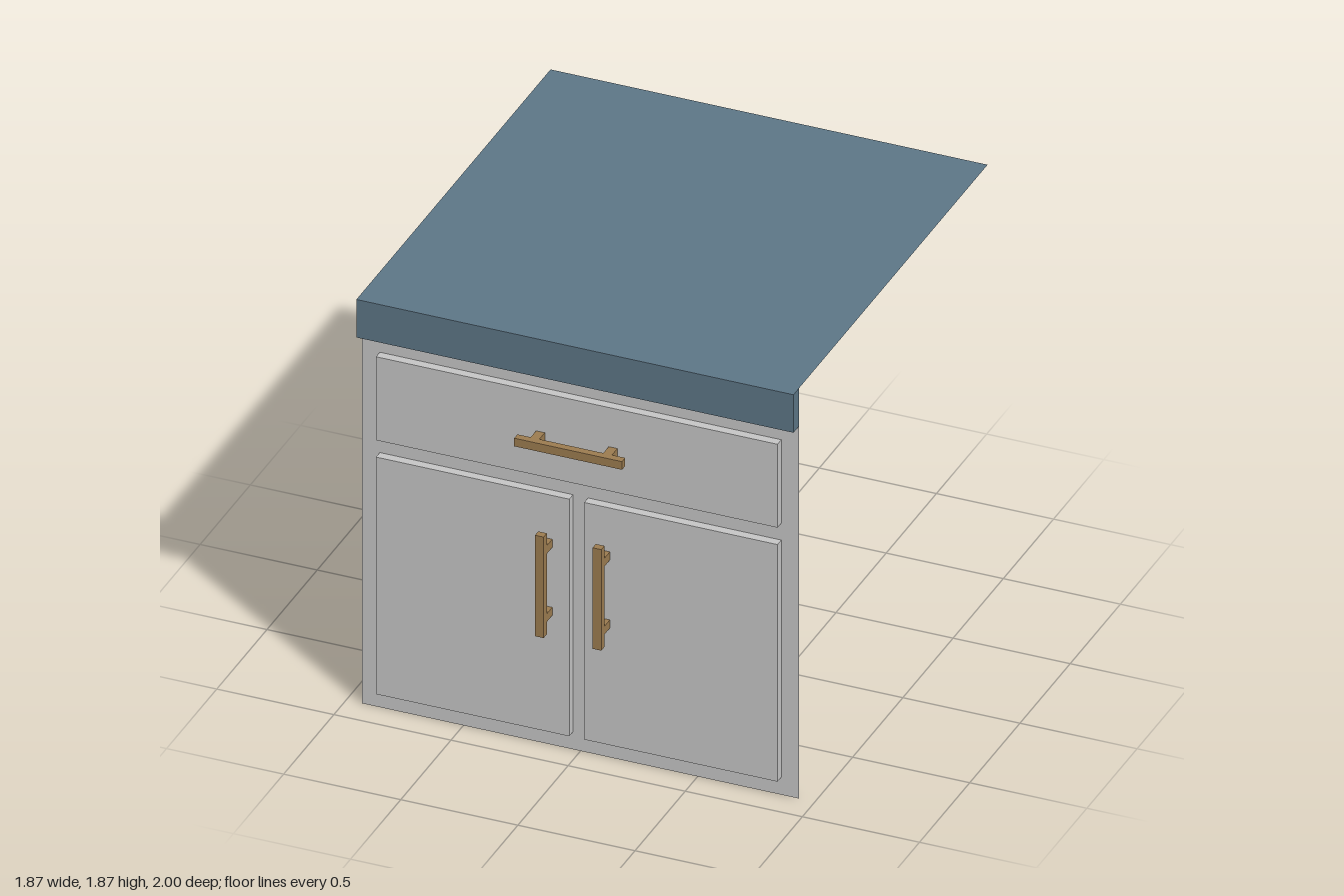
import * as THREE from 'three';
import { mergeGeometries } from 'three/addons/utils/BufferGeometryUtils.js';

const W = 0.933, FACE = 0.876, DOOR = 0.914, GRIP = 0.968, LIP = 0.932;
const TOP = 1.87, RIM = 1.697, BAR = 0.037, REACH = 0.155, LENGTH = 0.46;

// Rectangles are [x0, x1, y0, y1]
const square = (x, y) => [x - BAR / 2, x + BAR / 2, y - BAR / 2, y + BAR / 2];
const corners = ([a, b, c, d]) => [[a, c], [b, c], [b, d], [a, d]].map(p => new THREE.Vector2(...p));

// Flat sheet facing +z with rectangular openings
function sheet(rect, holes, z) {
  const shape = new THREE.Shape(corners(rect));
  shape.holes = holes.map(h => new THREE.Path(corners(h).reverse()));
  return new THREE.ShapeGeometry(shape).translate(0, 0, z);
}

// Four outward-facing walls round a rectangle, open at both ends
function walls([x0, x1, y0, y1], z0, z1) {
  const w = x1 - x0, h = y1 - y0, d = z1 - z0, parts = [];
  for (let i = 0; i < 4; i++) {
    const [len, off] = i % 2 ? [w, h / 2] : [h, w / 2];
    parts.push(new THREE.PlaneGeometry(d, len).rotateY(Math.PI / 2)
      .translate(off, 0, 0).rotateZ(i * Math.PI / 2));
  }
  return mergeGeometries(parts).translate((x0 + x1) / 2, (y0 + y1) / 2, (z0 + z1) / 2);
}

export function createModel() {
  const model = new THREE.Group();
  model.name = 'cabinet';
  const material = (name, color) => {
    const m = new THREE.MeshStandardMaterial({ color, side: THREE.DoubleSide });
    m.name = name;
    return m;
  };
  const grey = material('grey paint', 0xc6c6c6);
  const blue = material('blue counter', 0x5d7686);
  const brass = material('brass', 0x9c7c50);
  const add = (parent, name, geometry, mat) => {
    const mesh = new THREE.Mesh(geometry, mat);
    mesh.name = name;
    parent.add(mesh);
  };

  // Raised fronts, each with its handle centre and direction
  const fronts = [
    { name: 'drawer', rect: [-0.857, 0.857, 1.237, 1.617], x: 0, y: 1.42, across: true },
    { name: 'rightDoor', rect: [-0.857, -0.032, 0.08, 1.16], x: -0.123, y: 0.787 },
    { name: 'leftDoor', rect: [0.032, 0.857, 0.08, 1.16], x: 0.123, y: 0.787 },
  ];
  add(model, 'faceFrame', sheet([-W, W, 0, RIM], fronts.map(f => f.rect), FACE), grey);

  for (const { name, rect, x, y, across } of fronts) {
    const group = new THREE.Group();
    group.name = name;
    model.add(group);
    const posts = [-REACH, REACH].map(o => across ? square(x + o, y) : square(x, y + o));
    add(group, name + 'Panel', sheet(rect, posts, DOOR), grey);
    add(group, name + 'Edges', walls(rect, FACE, DOOR), grey);
    // Hollow posts open through the panel
    posts.forEach(p => add(group, 'handlePost', walls(p, DOOR, GRIP), brass));
    const size = across ? [LENGTH, BAR] : [BAR, LENGTH];
    add(group, 'handleBar', new THREE.BoxGeometry(...size, 1 - GRIP)
      .translate(x, y, (1 + GRIP) / 2), brass);
  }

  // Counter: thin top sheet with a turned-down front edge
  const counter = new THREE.Group();
  counter.name = 'counter';
  model.add(counter);
  const depth = LIP - FACE, mid = (LIP + FACE) / 2, height = TOP - RIM, midY = (TOP + RIM) / 2;
  add(counter, 'counterTop', new THREE.PlaneGeometry(2 * W, 1 + LIP)
    .rotateX(-Math.PI / 2).translate(0, TOP, (LIP - 1) / 2), blue);
  add(counter, 'counterFront', sheet([-W, W, RIM, TOP], [], LIP), blue);
  add(counter, 'counterUnderside', new THREE.PlaneGeometry(2 * W, depth)
    .rotateX(Math.PI / 2).translate(0, RIM, mid), blue);
  for (const s of [-1, 1]) {
    add(counter, 'counterEnd', new THREE.PlaneGeometry(depth, height)
      .rotateY(s * Math.PI / 2).translate(s * W, midY, mid), blue);
  }
  return model;
}
